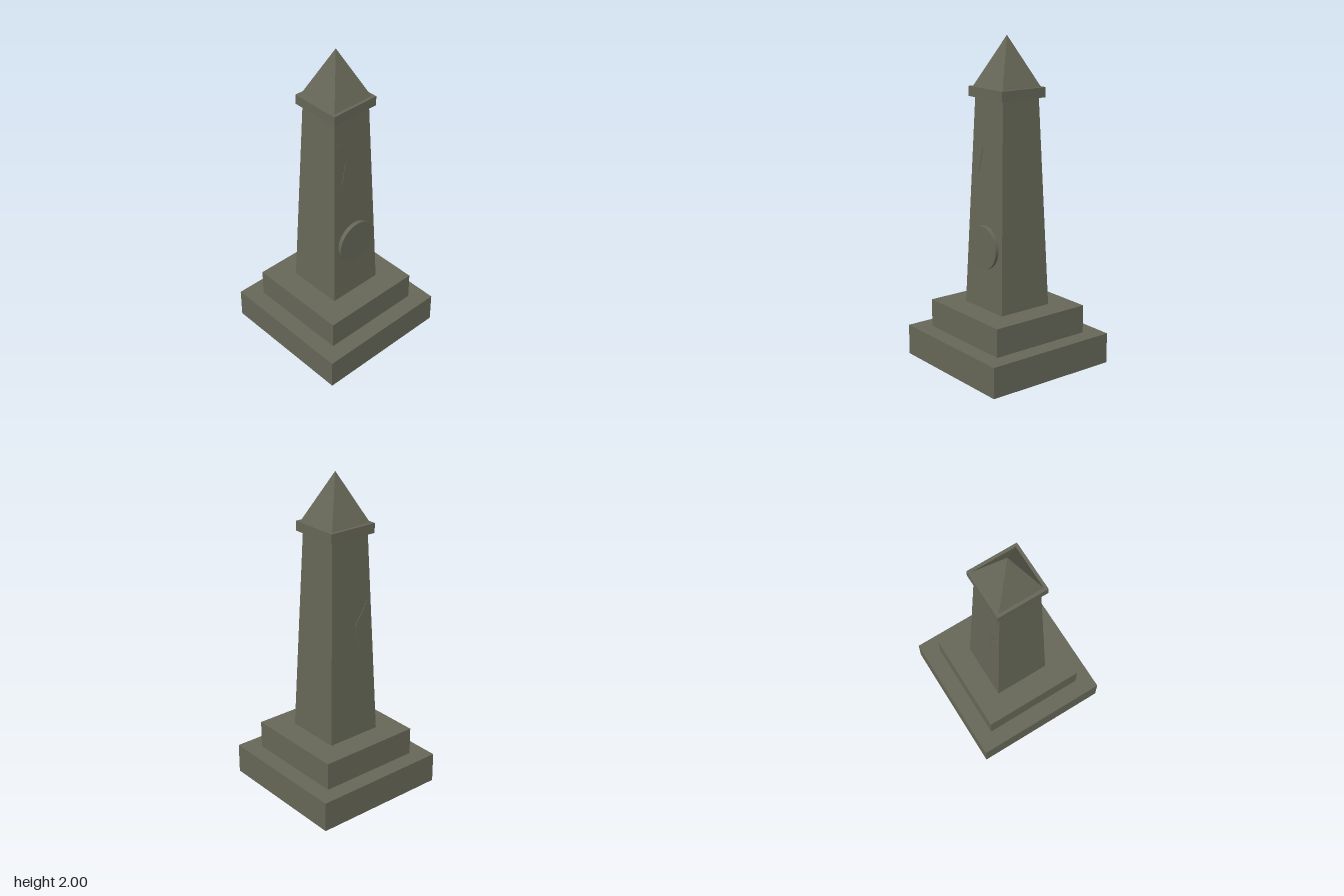
import * as THREE from 'three';

const stone = new THREE.MeshStandardMaterial({ color: 0x66675a });
stone.name = 'weathered stone';
stone.color.set(0x666757);

// Shaft taper
const Y0 = 0.365, Y1 = 1.64, H0 = 0.18, H1 = 0.133;
const halfWidth = (y) => H0 + ((H1 - H0) * (y - Y0)) / (Y1 - Y0);

function add(group, name, geometry, x = 0, y = 0, z = 0) {
  const mesh = new THREE.Mesh(geometry, stone);
  mesh.name = name;
  mesh.position.set(x, y, z);
  group.add(mesh);
  return mesh;
}

// Square block standing between two heights
function block(group, name, half, bottom, top) {
  add(group, name, new THREE.BoxGeometry(half * 2, top - bottom, half * 2), 0, (bottom + top) / 2, 0);
}

// Square frustum or pyramid with flat sides
function taper(group, name, halfBottom, halfTop, bottom, top) {
  const g = new THREE.CylinderGeometry(halfTop * Math.SQRT2, halfBottom * Math.SQRT2, top - bottom, 4, 1)
    .rotateY(Math.PI / 4).toNonIndexed();
  g.computeVertexNormals();
  add(group, name, g, 0, (bottom + top) / 2, 0);
}

// Thin zigzag ridge lying on the sloping front face
function crack(name, points, width) {
  const offset = (s) => points.map(([x, y]) => new THREE.Vector2(x + s * width / 2, y));
  const shape = new THREE.Shape([...offset(-1), ...offset(1).reverse()]);
  const g = new THREE.ExtrudeGeometry(shape, { depth: 0.008, bevelEnabled: false });
  const p = g.attributes.position;
  for (let i = 0; i < p.count; i++) p.setZ(i, p.getZ(i) - 0.005 + halfWidth(p.getY(i)));
  g.computeVertexNormals();
  const mesh = new THREE.Mesh(g, stone);
  mesh.name = name;
  return mesh;
}

export function createModel() {
  const model = new THREE.Group();
  model.name = 'obelisk';

  // Stepped base
  block(model, 'lowerStep', 0.4375, 0, 0.19);
  block(model, 'upperStep', 0.332, 0.19, Y0);

  // Shaft, collar and pointed cap
  taper(model, 'shaft', H0, H1, Y0, Y1);
  block(model, 'collar', 0.161, Y1, 1.7);
  taper(model, 'cap', 0.142, 0, 1.7, 2);

  // Round medallion on the front
  add(model, 'medallion', new THREE.CylinderGeometry(0.132, 0.132, 0.035, 48).rotateX(Math.PI / 2), 0, 0.75, 0.17);

  // Cracks on the front and back
  model.add(crack('frontCrack', [[-0.114, 1.48], [-0.052, 1.34], [-0.083, 1.2], [-0.057, 1.13]], 0.016));
  const back = crack('backCrack', [[0.127, 1.23], [0.035, 1.09], [0.063, 0.92]], 0.016);
  back.rotation.y = Math.PI;
  model.add(back);

  return model;
}
